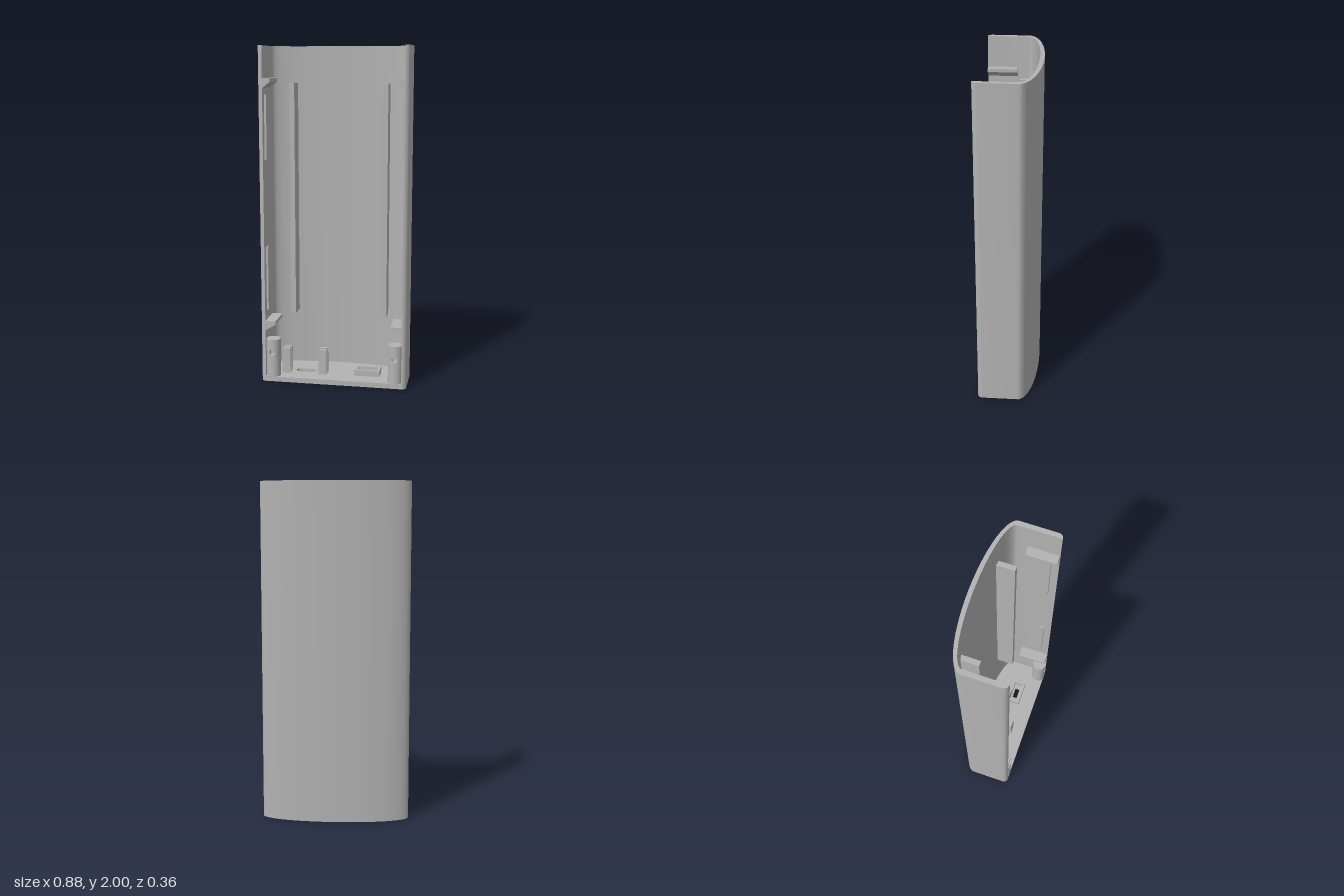
import * as THREE from 'three';
import { toCreasedNormals } from 'three/addons/utils/BufferGeometryUtils.js';
import { ParametricGeometry } from 'three/addons/geometries/ParametricGeometry.js';

const W = 0.438, FRONT = 0.174, R = 0.028; // half width, front plane, front corner radius
const INNER = 0.411, FLOOR = 0.03;

// Points of a half ellipse from +x to -x; plan coordinates are (x, -z)
function backArc(a, b, steps = 60) {
  const pts = [];
  for (let i = 0; i <= steps; i++) {
    const t = (i / steps) * Math.PI;
    pts.push(new THREE.Vector2(a * Math.cos(t), 0.068 + b * Math.sin(t)));
  }
  return pts;
}

// Quarter round of a front corner, on the left (s = 1) or right (s = -1)
function frontCorner(s) {
  const pts = [];
  for (let i = 0; i <= 8; i++) {
    const t = (i / 8) * Math.PI / 2;
    pts.push(new THREE.Vector2(s * (W - R + R * Math.sin(t)), -(FRONT - R + R * Math.cos(t))));
  }
  return s > 0 ? pts : pts.reverse();
}

const outline = () => [...frontCorner(1), ...backArc(W, 0.111), ...frontCorner(-1)];

// Rectangular path in plan, from x and z limits
function rectPath(x0, x1, z0, z1, Type = THREE.Path) {
  return new Type([[x0, -z1], [x1, -z1], [x1, -z0], [x0, -z0]].map(p => new THREE.Vector2(...p)));
}

// Extrude a plan shape upward between two heights
function rise(shape, y0, y1) {
  const g = new THREE.ExtrudeGeometry(shape, { depth: y1 - y0, bevelEnabled: false, curveSegments: 20 });
  g.rotateX(-Math.PI / 2).translate(0, y0, 0);
  return toCreasedNormals(g, 0.6);
}

export function createModel() {
  const model = new THREE.Group();
  model.name = 'enclosureHalf';
  const grey = new THREE.MeshStandardMaterial({ color: 0xb3b3b3 });
  grey.name = 'grey plastic';

  const add = (name, geo, parent = model) => {
    const m = new THREE.Mesh(geo, grey);
    m.name = name;
    parent.add(m);
    return m;
  };
  const box = (name, x0, x1, y0, y1, z0, z1) =>
    add(name, new THREE.BoxGeometry(x1 - x0, y1 - y0, z1 - z0)
      .translate((x0 + x1) / 2, (y0 + y1) / 2, (z0 + z1) / 2));

  // Curved back with both side walls, open at front and top
  const wall = new THREE.Shape([
    ...outline(),
    new THREE.Vector2(-INNER, -FRONT),
    ...backArc(INNER, 0.086).reverse(),
    new THREE.Vector2(INNER, -FRONT),
  ]);
  add('shellWall', rise(wall, FLOOR, 2));

  // Floor with a rounded slot and a small rectangular port
  const floor = new THREE.Shape(outline());
  const slot = new THREE.Path();
  slot.absarc(-0.155, -0.03, 0.027, -Math.PI / 2, Math.PI / 2, false);
  slot.absarc(-0.225, -0.03, 0.027, Math.PI / 2, Math.PI * 1.5, false);
  slot.closePath();
  floor.holes.push(slot, rectPath(0.155, 0.227, 0.014, 0.044));
  add('floorPlate', rise(floor, 0, FLOOR));

  // Raised frame around the port
  const frame = rectPath(0.112, 0.269, -0.014, 0.073, THREE.Shape);
  frame.holes.push(rectPath(0.13, 0.253, 0.002, 0.056));
  add('portFrame', rise(frame, FLOOR, 0.066));

  // Pairs of upright tabs beside the slot
  for (const [x0, x1] of [[-0.328, -0.276], [-0.103, -0.054]])
    for (const [z0, z1] of [[0.028, 0.047], [0.073, 0.091]])
      box('boardTab', x0, x1, FLOOR, 0.185, z0, z1);

  // Long ribs standing off the back
  for (const x of [-0.282, 0.28])
    box('backRib', x - 0.015, x + 0.015, 0.375, 1.783, -0.137, -0.027);

  // Snap ribs on the side walls
  for (const s of [-1, 1])
    for (const [y0, y1] of [[0.435, 0.82], [1.34, 1.72]]) {
      const a = s * (INNER + 0.005), b = s * 0.399;
      box('sideRib', Math.min(a, b), Math.max(a, b), y0, y1, 0.1, 0.13);
    }

  // Wedge shaped support ledges: side, tip x, top height
  for (const [s, tip, y] of [[-1, 0.364, 1.815], [1, 0.359, 1.815], [-1, 0.348, 0.375], [1, 0.343, 0.375]]) {
    const root = INNER + 0.004;
    const wedge = new THREE.Shape([[root, y], [tip, y], [tip, y - 0.02], [root, y - 0.06]]
      .map(([px, py]) => new THREE.Vector2(s * px, py)));
    const g = new THREE.ExtrudeGeometry(wedge, { depth: 0.177, bevelEnabled: false });
    add('supportLedge', g.translate(0, 0, -0.005));
  }

  // Screw posts with a round hole bored from the front
  const r = 0.043, hr = 0.018, hy = 0.18, half = 0.035;
  for (const s of [-1, 1]) {
    const post = new THREE.Group();
    post.name = s > 0 ? 'leftScrewPost' : 'rightScrewPost';
    post.position.set(s * 0.37, 0, 0.135);
    model.add(post);
    const solid = (name, y0, y1) =>
      add(name, new THREE.CylinderGeometry(r, r, y1 - y0, 40).translate(0, (y0 + y1) / 2, 0), post);
    solid('postBase', FLOOR, hy - half);
    solid('postTop', hy + half, 0.26);
    add('postBack', new THREE.CylinderGeometry(r, r, 2 * half, 20, 1, true, Math.PI / 2, Math.PI)
      .translate(0, hy, 0), post);
    // Curved face between the hole and the edges of the middle band
    const face = new ParametricGeometry((u, v, out) => {
      const t = u * Math.PI * 2, c = Math.cos(t), n = Math.sin(t);
      const k = 1 / Math.max(Math.abs(c), Math.abs(n));
      const x = THREE.MathUtils.lerp(hr * c, r * k * c, 1 - v);
      const y = THREE.MathUtils.lerp(hr * n, half * k * n, 1 - v);
      out.set(x, hy + y, Math.sqrt(Math.max(0, r * r - x * x)));
    }, 48, 10);
    add('postFace', face, post);
    // Bore wall, seen from inside, and its end
    const bore = new ParametricGeometry((u, v, out) => {
      const t = u * Math.PI * 2, x = hr * Math.cos(t);
      out.set(x, hy + hr * Math.sin(t), v * Math.sqrt(r * r - x * x));
    }, 24, 1);
    bore.setIndex([...bore.index.array].reverse());
    bore.computeVertexNormals();
    add('boreWall', bore, post);
    add('boreEnd', new THREE.CircleGeometry(hr, 24).translate(0, hy, 0), post);
  }

  // Windings of the parametric faces: flip any that point away from the viewer side
  model.traverse(o => {
    if (!o.isMesh || (o.name !== 'postFace' && o.name !== 'boreWall')) return;
    const p = o.geometry.attributes.position, i = o.geometry.index;
    const [a, b, c] = [0, 1, 2].map(k => new THREE.Vector3().fromBufferAttribute(p, i.getX(k + 60)));
    const n = b.clone().sub(a).cross(c.clone().sub(a));
    const want = o.name === 'postFace' ? n.z : -(n.x * a.x + n.y * (a.y - hy));
    if (want < 0) {
      o.geometry.setIndex([...i.array].reverse());
      o.geometry.computeVertexNormals();
    }
  });

  return model;
}
